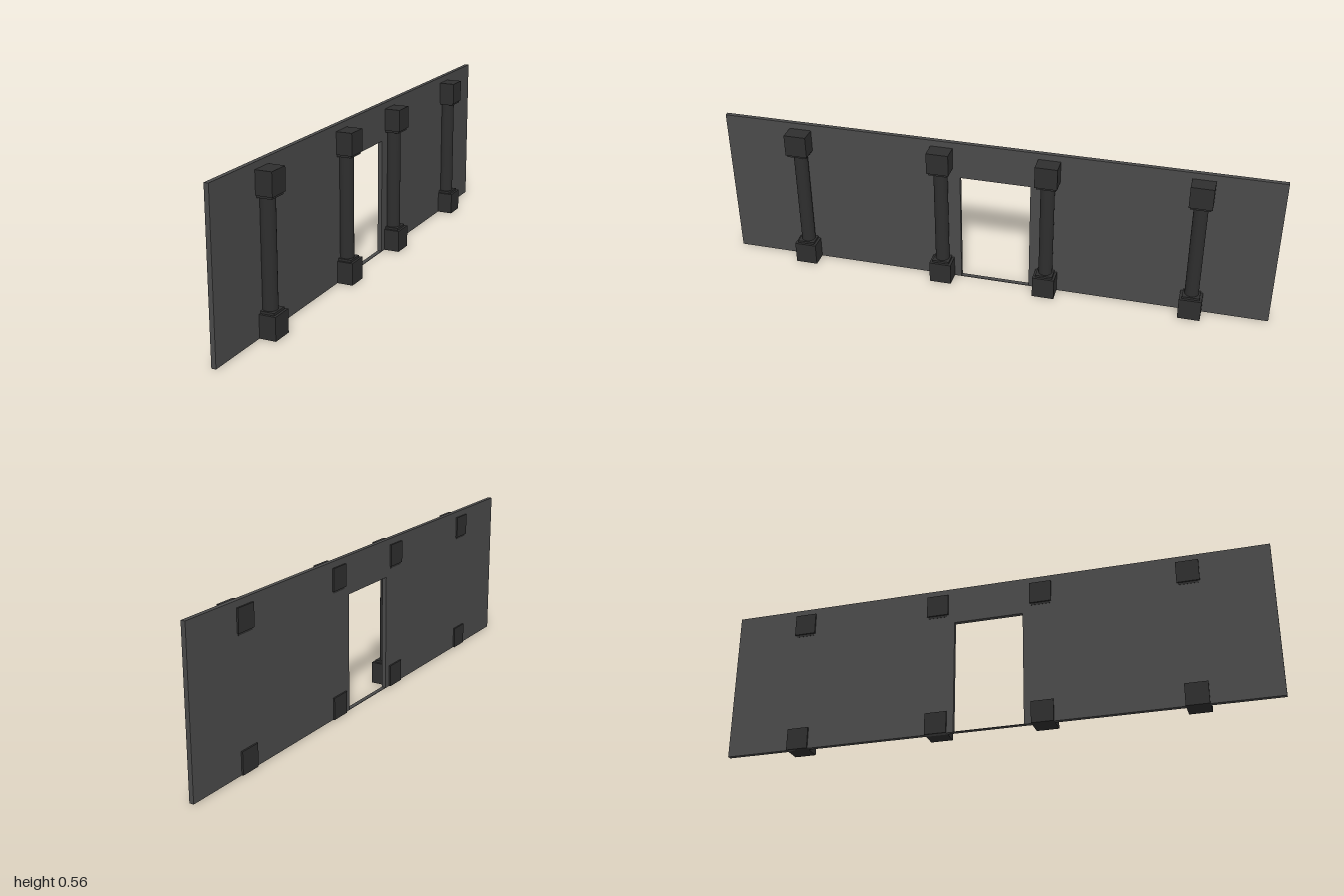
import * as THREE from 'three';

export function createModel() {
  const group = new THREE.Group();
  const wallMat = new THREE.MeshStandardMaterial({ name: 'wall grey', color: 0x4a4a4a });
  const columnMat = new THREE.MeshStandardMaterial({ name: 'column charcoal', color: 0x2e2e2e });

  const add = (parent, name, geometry, material, x, y, z) => {
    const mesh = new THREE.Mesh(geometry, material);
    mesh.name = name;
    mesh.position.set(x, y, z);
    parent.add(mesh);
  };

  // Wall panel with a doorway, drawn in (z, y) and turned to face +x
  const outline = new THREE.Shape([
    [-1, 0], [-0.133, 0], [-0.133, 0.425], [0.122, 0.425],
    [0.122, 0], [1, 0], [1, 0.563], [-1, 0.563],
  ].map(([z, y]) => new THREE.Vector2(z, y)));
  const wall = new THREE.ExtrudeGeometry(outline, { depth: 0.016, bevelEnabled: false });
  wall.rotateY(-Math.PI / 2);
  add(group, 'wall', wall, wallMat, -0.018, 0, 0);

  // Thin sill across the doorway
  add(group, 'threshold', new THREE.BoxGeometry(0.016, 0.002, 0.255), wallMat, -0.026, 0.001, -0.0055);

  // Columns: square base and capital, thin collars, round shaft
  const block = new THREE.BoxGeometry(0.08, 0.08, 0.08);
  const lowerCollar = new THREE.BoxGeometry(0.062, 0.008, 0.062);
  const upperCollar = new THREE.BoxGeometry(0.07, 0.008, 0.07);
  const shaft = new THREE.CylinderGeometry(0.025, 0.025, 0.366, 24, 1, true);
  for (const z of [-0.725, -0.198, 0.188, 0.714]) {
    const column = new THREE.Group();
    column.name = 'column';
    column.position.z = z;
    add(column, 'base', block, columnMat, 0, 0.04, 0);
    add(column, 'lowerCollar', lowerCollar, columnMat, 0, 0.084, 0);
    add(column, 'shaft', shaft, columnMat, 0, 0.27, 0);
    add(column, 'upperCollar', upperCollar, columnMat, 0, 0.456, 0);
    add(column, 'capital', block, columnMat, 0, 0.5, 0);
    group.add(column);
  }
  return group;
}
